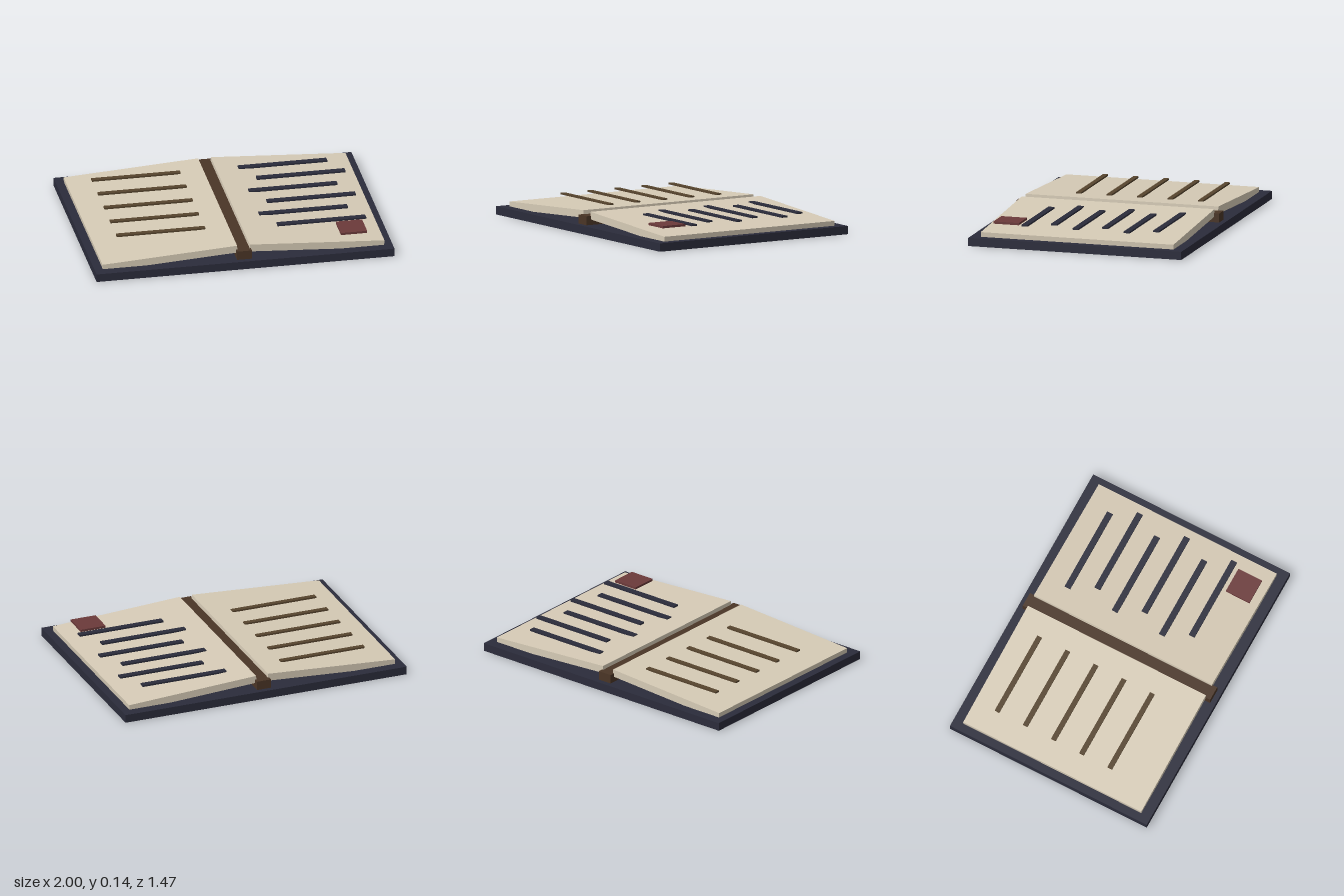
import * as THREE from 'three';

const material = (color) => new THREE.MeshStandardMaterial({ color });

export function createModel() {
  const book = new THREE.Group();
  book.name = 'openBook';
  const navy = material(0x2b2c3b);
  const leather = material(0x4a3526);
  const paper = material(0xd6cbb6);
  const brownInk = material(0x57452e);
  const wax = material(0x6b3a3a);

  const box = (name, mat, [w, h, d], [x, y, z]) => {
    const mesh = new THREE.Mesh(new THREE.BoxGeometry(w, h, d), mat);
    mesh.name = name;
    mesh.position.set(x, y, z);
    book.add(mesh);
    return mesh;
  };

  // Cover board and the spine running down its middle
  box('cover', navy, [2, 0.055, 1.47], [0, 0.0275, 0]);
  box('spine', leather, [0.1, 0.065, 1.4], [0, 0.0825, 0]);

  // Page blocks, sloping down from the spine to the outer edges
  for (const side of [-1, 1]) {
    const page = box(side > 0 ? 'leftPage' : 'rightPage', paper,
      [0.905, 0.05, 1.33], [side * 0.493, 0.0895, 0]);
    page.rotation.z = -side * 0.06;
  }

  // Five brown lines of writing on the -x page
  for (let i = 0; i < 5; i++) {
    box('brownLine', brownInk, [0.595, 0.011, 0.034], [-0.494, 0.1355, -0.495 + i * 0.2105]);
  }

  // Six staggered dark lines on the +x page
  for (let i = 0; i < 6; i++) {
    box('darkLine', navy, [0.595, 0.011, 0.042], [i % 2 ? 0.578 : 0.49, 0.1335, -0.496 + i * 0.1762]);
  }

  // Square seal in the page corner
  box('seal', wax, [0.176, 0.015, 0.176], [0.753, 0.1335, 0.523]);

  return book;
}
